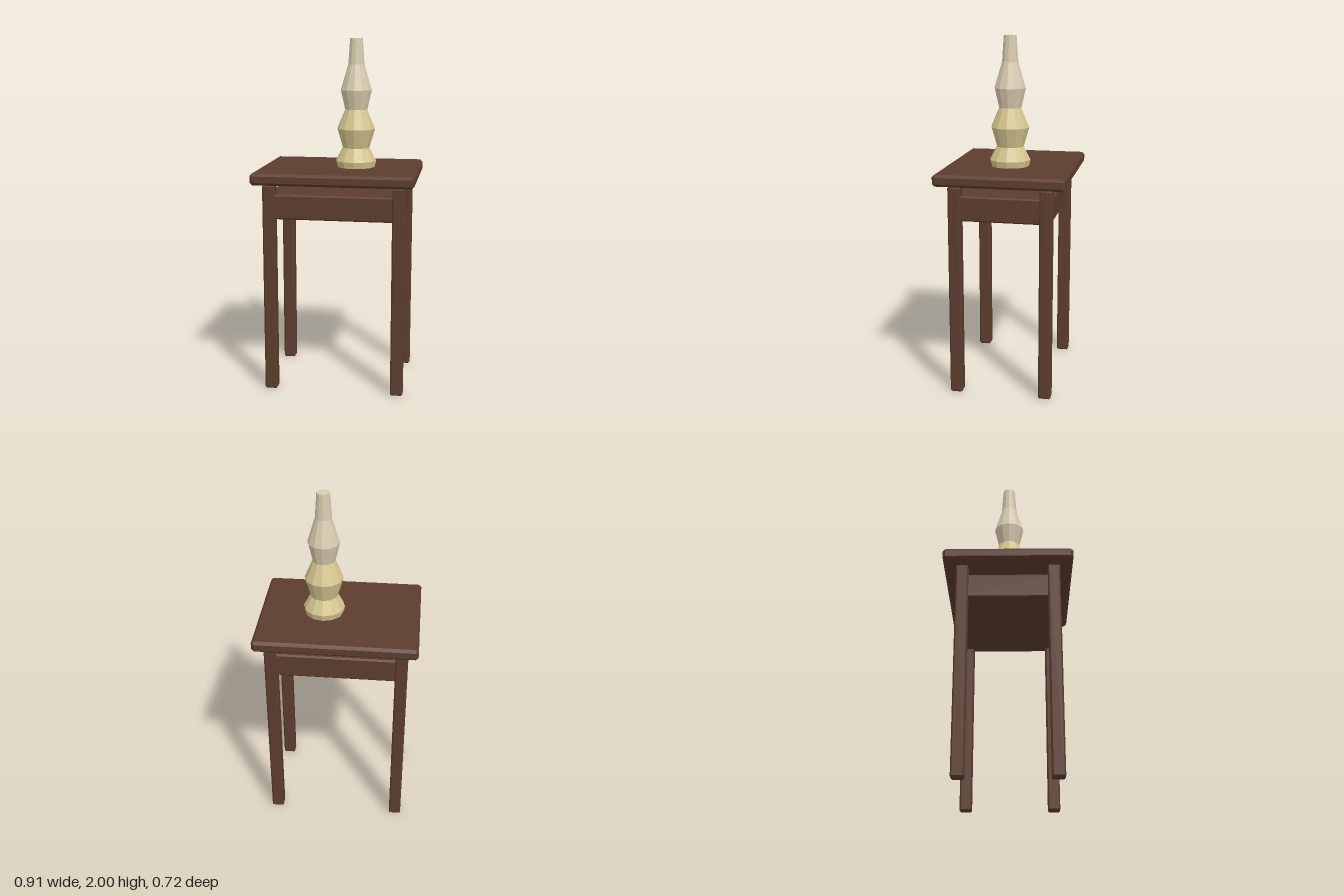
import * as THREE from 'three';
import { ConvexGeometry } from 'three/addons/geometries/ConvexGeometry.js';

const wood = new THREE.MeshStandardMaterial({ color: 0x5c3d2e, flatShading: true });
wood.name = 'dark wood';
const straw = new THREE.MeshStandardMaterial({ color: 0xd6c690, flatShading: true });
straw.name = 'straw yellow';
const cream = new THREE.MeshStandardMaterial({ color: 0xd9ccb0, flatShading: true });
cream.name = 'pale cream';

// Box with a flat chamfer b along every edge
function chamferBox(w, h, d, b) {
  const x = w / 2, y = h / 2, z = d / 2, points = [];
  for (const i of [-1, 1]) for (const j of [-1, 1]) for (const k of [-1, 1]) {
    points.push(
      new THREE.Vector3(i * x, j * (y - b), k * (z - b)),
      new THREE.Vector3(i * (x - b), j * y, k * (z - b)),
      new THREE.Vector3(i * (x - b), j * (y - b), k * z));
  }
  return new ConvexGeometry(points);
}

function add(parent, name, geometry, material, x, y, z) {
  const mesh = new THREE.Mesh(geometry, material);
  mesh.name = name;
  mesh.position.set(x, y, z);
  parent.add(mesh);
  return mesh;
}

// Twelve-sided turned solid from [radius, height] pairs, bottom to top
const turned = (profile) =>
  new THREE.LatheGeometry(profile.map(([r, y]) => new THREE.Vector2(r, y)), 12);

export function createModel() {
  const model = new THREE.Group();
  model.name = 'sideTable';

  // Table: top, solid apron and four legs
  add(model, 'tableTop', chamferBox(0.906, 0.066, 0.722, 0.015), wood, 0, 1.241, 0);
  add(model, 'apron', chamferBox(0.76, 0.14, 0.56, 0.008), wood, 0, 1.076, 0);
  const leg = chamferBox(0.07, 1.2, 0.07, 0.008);
  for (const [xName, sx] of [['Left', 1], ['Right', -1]]) {
    for (const [zName, sz] of [['front', 1], ['back', -1]]) {
      add(model, `${zName}${xName}Leg`, leg, wood, sx * 0.364, 0.6, sz * 0.254);
    }
  }

  // Turned ornament standing off-centre on the top
  const ornament = new THREE.Group();
  ornament.name = 'turnedOrnament';
  ornament.position.x = 0.09;
  model.add(ornament);
  add(ornament, 'ornamentBase', turned([
    [0, 1.274], [0.108, 1.274], [0.117, 1.31], [0.077, 1.385],
    [0.109, 1.493], [0.062, 1.605], [0, 1.605],
  ]), straw, 0, 0, 0);
  add(ornament, 'ornamentNeck', turned([
    [0, 1.603], [0.064, 1.603], [0.089, 1.712], [0.046, 1.855],
    [0.036, 2], [0, 2],
  ]), cream, 0, 0, 0);

  return model;
}
